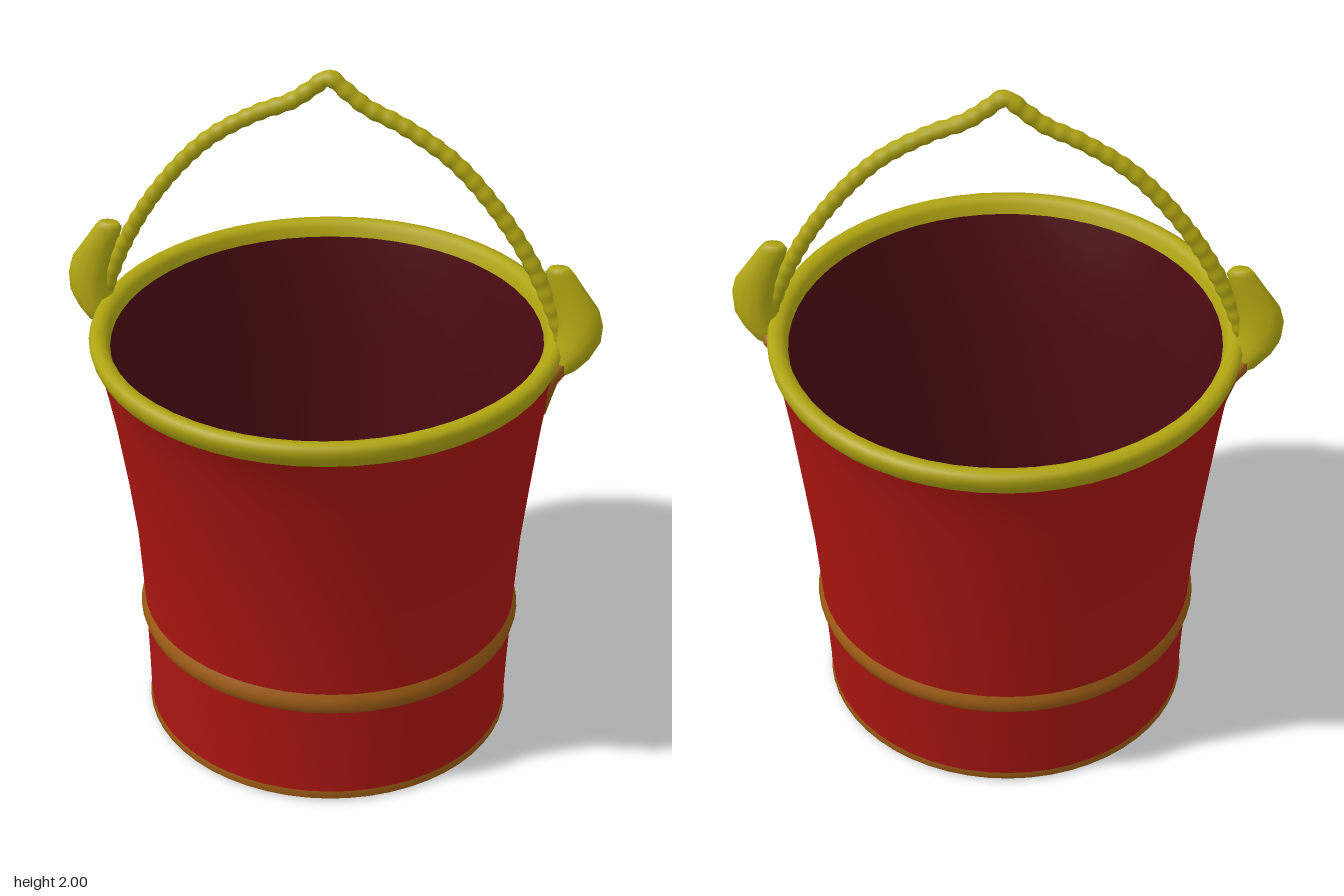
import * as THREE from 'three';
import { mergeVertices } from 'three/addons/utils/BufferGeometryUtils.js';

const RED = 0xa81510, DARK_RED = 0x4a0a10, FLOOR = 0x1c0e14, YELLOW = 0xb0a512, ORANGE = 0x9a5a14;
const HANDLE_Z = -0.02;

function mesh(name, geometry, color) {
  const m = new THREE.Mesh(geometry, new THREE.MeshStandardMaterial({ color }));
  m.name = name;
  return m;
}

// Weld seams and rebuild smooth normals
function smooth(geometry) {
  geometry.deleteAttribute('uv');
  geometry.deleteAttribute('normal');
  const g = mergeVertices(geometry, 1e-4);
  g.computeVertexNormals();
  return g;
}

// Round part, slightly oval and leaning to the back at mid height
function turned(name, profile, color) {
  const g = new THREE.LatheGeometry(profile.map(([r, y]) => new THREE.Vector2(r, y)), 56);
  const p = g.attributes.position;
  for (let i = 0; i < p.count; i++) {
    const t = p.getY(i) / 1.25;
    const oval = 0.96 + 0.08 * Math.min(1, t) ** 6;
    p.setZ(i, p.getZ(i) * oval - 0.025 * Math.sin(Math.PI * Math.min(1, t)));
  }
  return mesh(name, smooth(g), color);
}

// Solid lofted through level oval rings: [y, inner x, outer x, half depth]
function loft(rings, sides = 14) {
  const pos = [], index = [], n = rings.length;
  for (const [y, x0, x1, d] of rings) {
    for (let j = 0; j < sides; j++) {
      const a = (j / sides) * Math.PI * 2;
      pos.push((x0 + x1) / 2 + Math.cos(a) * (x1 - x0) / 2, y, HANDLE_Z + Math.sin(a) * d);
    }
  }
  for (let i = 0; i < n - 1; i++) {
    for (let j = 0; j < sides; j++) {
      const k = (j + 1) % sides;
      const a = i * sides + j, b = i * sides + k, c = a + sides, d = b + sides;
      index.push(a, c, b, b, c, d);
    }
  }
  // End caps
  for (let j = 1; j < sides - 1; j++) {
    const top = (n - 1) * sides;
    index.push(0, j, j + 1, top, top + j + 1, top + j);
  }
  const g = new THREE.BufferGeometry();
  g.setAttribute('position', new THREE.Float32BufferAttribute(pos, 3));
  g.setIndex(index);
  g.computeVertexNormals();
  return g;
}

export function createModel() {
  const bucket = new THREE.Group();
  bucket.name = 'bucket';

  // Walls
  bucket.add(turned('outerWall', [
    [0.54, 0.02], [0.543, 0.15], [0.548, 0.3], [0.552, 0.4], [0.563, 0.6],
    [0.583, 0.8], [0.605, 1.0], [0.618, 1.1], [0.628, 1.17], [0.64, 1.23],
  ], RED));
  bucket.add(turned('innerWall', [
    [0.6, 1.25], [0.58, 1.1], [0.56, 0.9], [0.53, 0.6], [0.505, 0.35], [0.49, 0.18], [0.47, 0.13],
  ], DARK_RED));
  bucket.add(turned('innerFloor', [[0.47, 0.13], [0.45, 0.12], [0, 0.12]], FLOOR));

  // Recessed underside and foot ring
  bucket.add(turned('underside', [[0, 0.06], [0.48, 0.06], [0.495, 0.02]], DARK_RED));
  bucket.add(turned('footRing', [
    [0.49, 0.025], [0.498, 0.006], [0.51, 0], [0.535, 0], [0.544, 0.008], [0.54, 0.03],
  ], ORANGE));

  // Raised hoop and rolled rim
  bucket.add(turned('hoop', [
    [0.545, 0.305], [0.557, 0.318], [0.563, 0.34], [0.559, 0.36], [0.548, 0.38],
  ], ORANGE));
  bucket.add(turned('rim', [
    [0.63, 1.2], [0.642, 1.218], [0.65, 1.24], [0.653, 1.262], [0.646, 1.277],
    [0.63, 1.28], [0.612, 1.276], [0.602, 1.262], [0.597, 1.235],
  ], YELLOW));

  // Ears and the lugs that tie them to the wall
  for (const [label, s] of [['left', 1], ['right', -1]]) {
    const side = new THREE.Group();
    side.name = label + 'Ear';
    side.add(mesh('ear', loft([
      [1.195, 0.61, 0.67, 0.05], [1.215, 0.61, 0.7, 0.062], [1.25, 0.615, 0.73, 0.066],
      [1.29, 0.63, 0.75, 0.06], [1.34, 0.63, 0.753, 0.05], [1.385, 0.62, 0.74, 0.038],
      [1.44, 0.605, 0.7, 0.029], [1.485, 0.59, 0.668, 0.023], [1.5, 0.6, 0.655, 0.018],
    ]), YELLOW));
    side.add(mesh('lug', loft([
      [1.05, 0.59, 0.615, 0.015], [1.1, 0.595, 0.628, 0.035],
      [1.16, 0.595, 0.645, 0.06], [1.21, 0.6, 0.675, 0.085], [1.24, 0.605, 0.675, 0.085],
    ]), ORANGE));
    // Half a turn keeps the faces outward on the far side
    if (s < 0) {
      side.rotation.y = Math.PI;
      side.position.z = 2 * HANDLE_Z;
    }
    bucket.add(side);
  }

  // Pointed bail handle, with a slight rope-like ripple
  const half = [[0.66, 1.26], [0.59, 1.43], [0.49, 1.6], [0.34, 1.77], [0.2, 1.86], [0.1, 1.905], [0.045, 1.945]];
  const points = [...half.map(([x, y]) => [-x, y]), [0, 1.976], ...half.slice().reverse()];
  const curve = new THREE.CatmullRomCurve3(points.map(([x, y]) => new THREE.Vector3(x, y, HANDLE_Z)));
  const steps = 220, sides = 10;
  const tube = new THREE.TubeGeometry(curve, steps, 0.022, sides);
  const p = tube.attributes.position, v = new THREE.Vector3();
  for (let i = 0; i <= steps; i++) {
    const c = curve.getPointAt(i / steps);
    const k = 1 + 0.08 * Math.sin((i / steps) * Math.PI * 2 * 44);
    for (let j = 0; j <= sides; j++) {
      const id = i * (sides + 1) + j;
      v.fromBufferAttribute(p, id).sub(c).multiplyScalar(k).add(c);
      p.setXYZ(id, v.x, v.y, v.z);
    }
  }
  bucket.add(mesh('handle', smooth(tube), YELLOW));

  return bucket;
}
